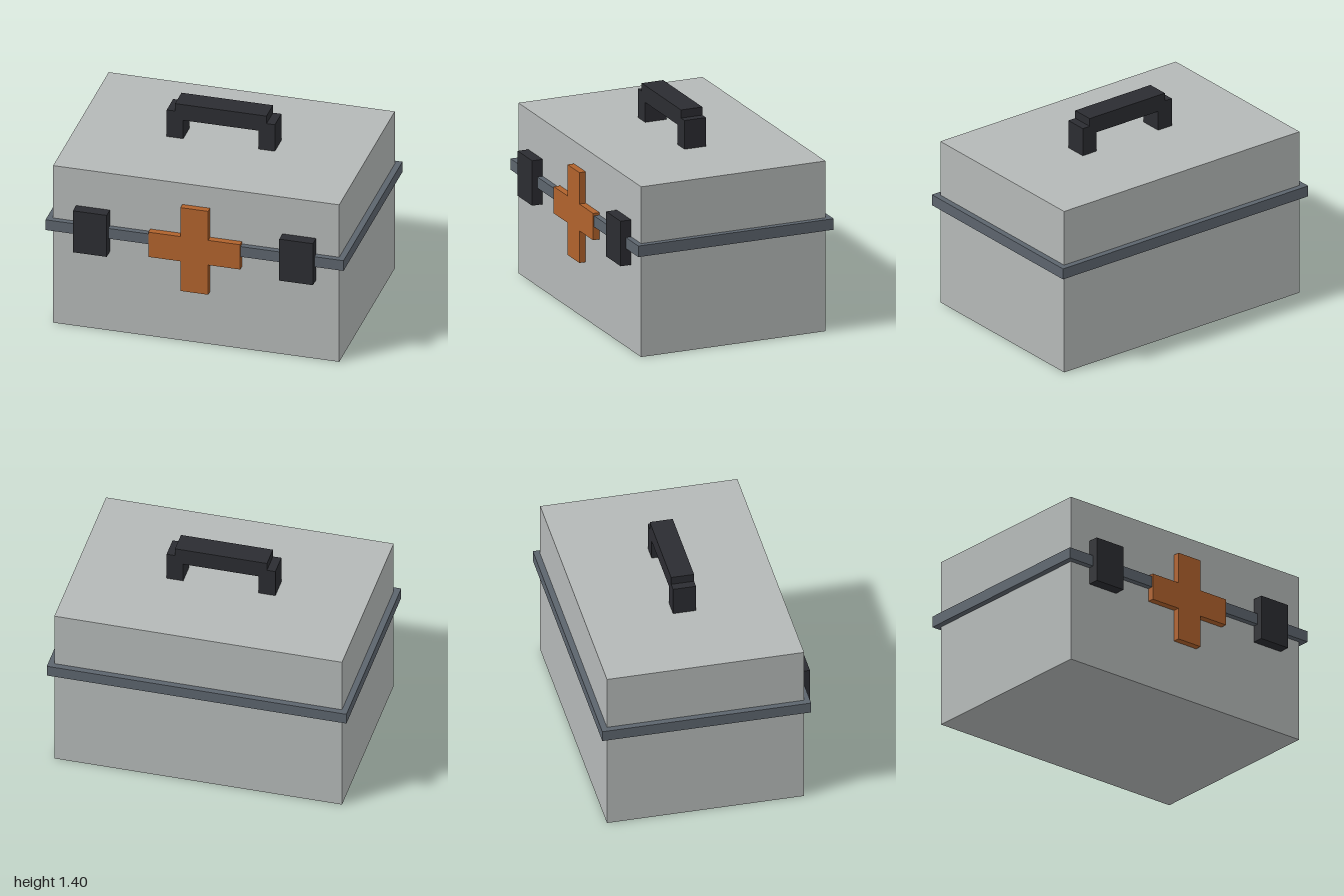
import * as THREE from 'three';

const material = (color) => new THREE.MeshStandardMaterial({ color, flatShading: true });

export function createModel() {
  const model = new THREE.Group();
  model.name = 'medicalCase';
  const shell = material(0xb4b8b7);
  const trim = material(0x5c646d);
  const dark = material(0x2b2c31);
  const orange = material(0xb0622c);

  const add = (name, geometry, mat) => {
    const mesh = new THREE.Mesh(geometry, mat);
    mesh.name = name;
    model.add(mesh);
    return mesh;
  };

  // Box given by its minimum and maximum corners
  const addBox = (name, mat, [x0, y0, z0], [x1, y1, z1]) =>
    add(name, new THREE.BoxGeometry(x1 - x0, y1 - y0, z1 - z0), mat)
      .position.set((x0 + x1) / 2, (y0 + y1) / 2, (z0 + z1) / 2);

  // Left-right symmetric outline, given by its +x half, extruded from z0 to z1
  const addProfile = (name, mat, half, z0, z1) => {
    const mirrored = half.map(([x, y]) => [-x, y]).reverse();
    const shape = new THREE.Shape([...half, ...mirrored].map(([x, y]) => new THREE.Vector2(x, y)));
    const geometry = new THREE.ExtrudeGeometry(shape, { depth: z1 - z0, bevelEnabled: false });
    add(name, geometry.translate(0, 0, z0), mat);
  };

  // Case body and the band around the lid seam
  addBox('caseBody', shell, [-0.96, 0, -0.67], [0.96, 1.155, 0.635]);
  addBox('seamBand', trim, [-1, 0.695, -0.71], [1, 0.77, 0.673]);

  // Front latches
  for (const [name, x] of [['leftLatch', 0.692], ['rightLatch', -0.692]]) {
    addBox(name, dark, [x - 0.113, 0.58, 0.6], [x + 0.113, 0.885, 0.71]);
  }

  // Raised cross on the front
  addProfile('frontCross', orange, [
    [0.093, 0.387], [0.093, 0.605], [0.308, 0.605],
    [0.308, 0.787], [0.093, 0.787], [0.093, 1.0],
  ], 0.62, 0.68);

  // Carrying handle: two posts and a stepped grip
  addProfile('handle', dark, [
    [0.252, 1.29], [0.252, 1.155], [0.363, 1.155],
    [0.363, 1.35], [0.307, 1.35], [0.307, 1.405],
  ], -0.095, 0.057);

  return model;
}
